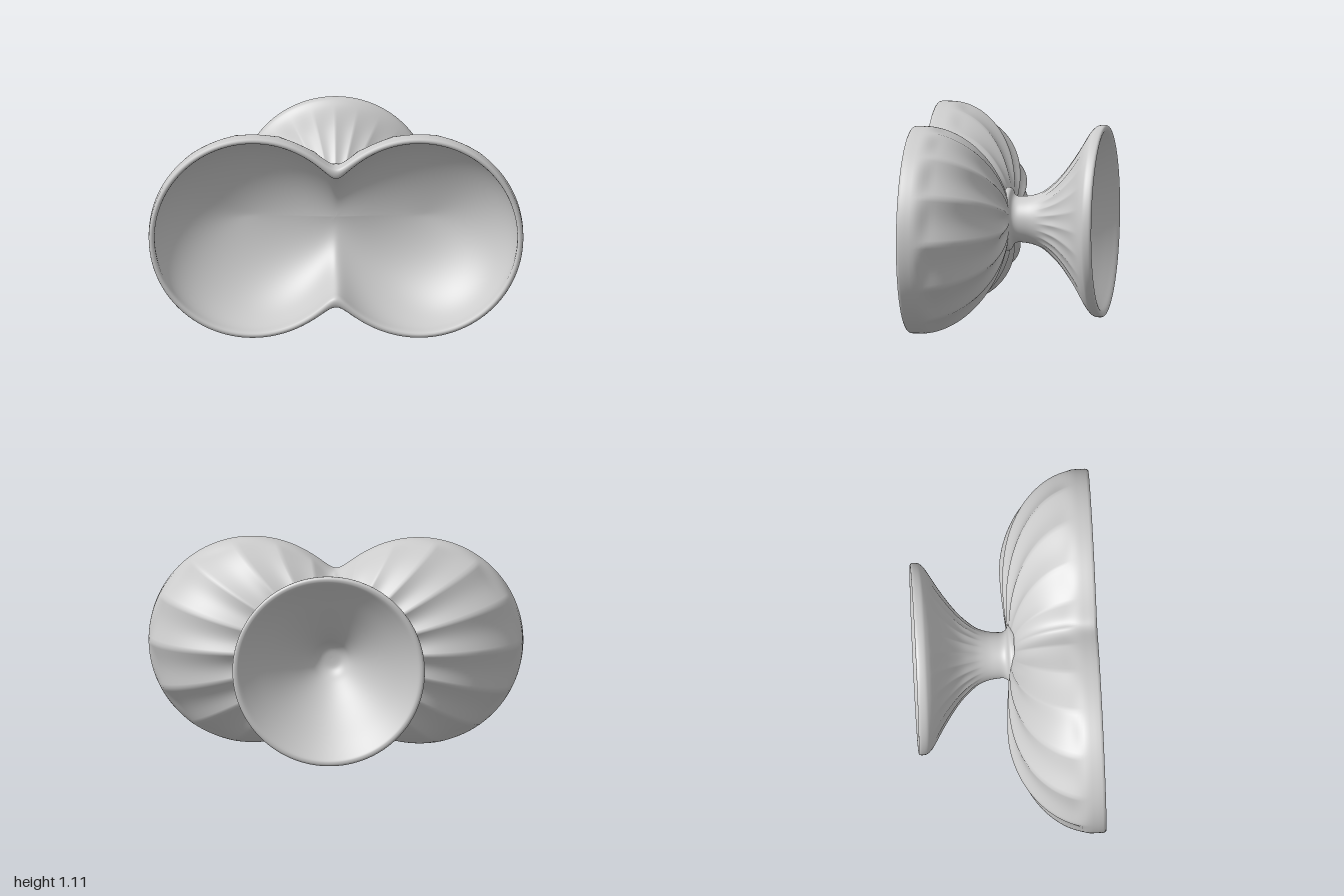
import * as THREE from 'three';

const AXIS_Y = 0.553, FLUTES = 24, SEGMENTS = FLUTES * 12;
const LOBE = 0.45, RADIUS = 0.55, INNER = 0.518;
const { smoothstep } = THREE.MathUtils;

// Closed surface ringed around the z axis; point(row, angle) gives [x, y, z]
function ringSurface(rows, point, material, name) {
  const positions = [], index = [];
  for (let i = 0; i < rows; i++) {
    for (let j = 0; j < SEGMENTS; j++) {
      const [x, y, z] = point(i, (j / SEGMENTS) * Math.PI * 2);
      positions.push(x, y + AXIS_Y, z);
      if (i === rows - 1) continue;
      const k = (j + 1) % SEGMENTS;
      const a = i * SEGMENTS + j, b = i * SEGMENTS + k;
      index.push(a, b, a + SEGMENTS, b, b + SEGMENTS, a + SEGMENTS);
    }
  }
  const geometry = new THREE.BufferGeometry();
  geometry.setAttribute('position', new THREE.Float32BufferAttribute(positions, 3));
  geometry.setIndex(index);
  geometry.computeVertexNormals();
  const mesh = new THREE.Mesh(geometry, material);
  mesh.name = name;
  return mesh;
}

// Two-lobed outline with a softened waist, in polar form
function outline(angle, r) {
  const e = 0.155 ** 2, s = Math.sin(angle), c = Math.cos(angle);
  return LOBE * Math.sqrt((c * c + e) / (1 + e)) + Math.sqrt(r * r - LOBE * LOBE * s * s);
}

// Level of a point: 1 on the outline, 0 on the segment joining the lobe centres
function level(x, y, r) {
  let low = 0, high = 1;
  for (let n = 0; n < 30; n++) {
    const q = (low + high) / 2;
    const px = x / ((LOBE + r * q) / (LOBE + r)), py = y / q;
    if (Math.hypot(px, py) < outline(Math.atan2(py, px), r)) high = q;
    else low = q;
  }
  return high;
}

// Sharp ridges with hollow flutes between them
const flute = (angle) => Math.abs(Math.sin((angle * FLUTES) / 2));

// Point on the outer or inner shell, t from centre (0) to the wall top (1)
function shellPoint(t, angle, r, depth, fluteDepth) {
  const radius = outline(angle, r) * Math.sin((t * Math.PI) / 2);
  let x = radius * Math.cos(angle), y = radius * Math.sin(angle);
  const q = t >= 1 ? 1 : level(x, y, r);
  const fall = Math.pow(Math.max(0, 1 - Math.pow(q, 1.9)), 1 / 1.9);
  let z = 0.42 - depth * fall + 0.033 * Math.exp(-((x / 0.24) ** 2)) * (1 - q);
  const fade = smoothstep(radius, 0.12, 0.4) * (1 - smoothstep(z, 0.31, 0.4));
  const sink = fluteDepth * flute(angle) * fade * (0.5 + 0.5 * Math.cos(angle) ** 2);
  x -= sink * q * Math.cos(angle);
  y -= sink * q * Math.sin(angle);
  z += sink * Math.sqrt(1 - q * q);
  return [x, y, z];
}

function buildBowl(material) {
  const steps = 36;
  // Rounded lip: lobe radius and z
  const lip = [
    [0.55, 0.445], [0.55, 0.472], [0.547, 0.483], [0.54, 0.489],
    [0.53, 0.489], [0.523, 0.482], [0.519, 0.47], [0.518, 0.445],
  ];
  const rows = 2 * (steps + 1) + lip.length;
  return ringSurface(rows, (i, angle) => {
    if (i <= steps) return shellPoint(i / steps, angle, RADIUS, 0.433, 0.025);
    const k = i - steps - 1;
    if (k < lip.length) {
      const radius = outline(angle, lip[k][0]);
      return [radius * Math.cos(angle), radius * Math.sin(angle), lip[k][1]];
    }
    return shellPoint((rows - 1 - i) / steps, angle, INNER, 0.395, 0);
  }, material, 'twinLobedBowl');
}

function buildFoot(material) {
  // Radius and z: hollow underside, rim, flare, stem, fillet into the bowl
  const profile = [
    [0, -0.1], [0.05, -0.105], [0.085, -0.13], [0.12, -0.18], [0.19, -0.25],
    [0.29, -0.33], [0.39, -0.405], [0.45, -0.455], [0.48, -0.482], [0.495, -0.489],
    [0.508, -0.487], [0.514, -0.475], [0.511, -0.447], [0.498, -0.428], [0.463, -0.4],
    [0.38, -0.35], [0.305, -0.3], [0.24, -0.25], [0.19, -0.2], [0.152, -0.15],
    [0.132, -0.1], [0.124, -0.05], [0.124, -0.015], [0.136, 0.005], [0.165, 0.02], [0.17, 0.045],
  ].map(([r, z]) => new THREE.Vector2(r, z));
  const points = new THREE.SplineCurve(profile).getPoints(100);
  const rimRow = 44;
  return ringSurface(points.length, (i, angle) => {
    const { x: r, y: z } = points[i];
    // Shallow flutes on the outside of the flare only
    const fade = i > rimRow ? smoothstep(z, -0.42, -0.34) * (1 - smoothstep(z, -0.25, -0.12)) : 0;
    const radius = Math.max(0, r - 0.011 * flute(angle) * fade);
    return [radius * Math.cos(angle), radius * Math.sin(angle), z];
  }, material, 'flaredFoot');
}

export function createModel() {
  const group = new THREE.Group();
  group.name = 'twinLobedFootedBowl';
  const material = new THREE.MeshStandardMaterial({ color: 0xcccccc });
  group.add(buildBowl(material), buildFoot(material));
  return group;
}
